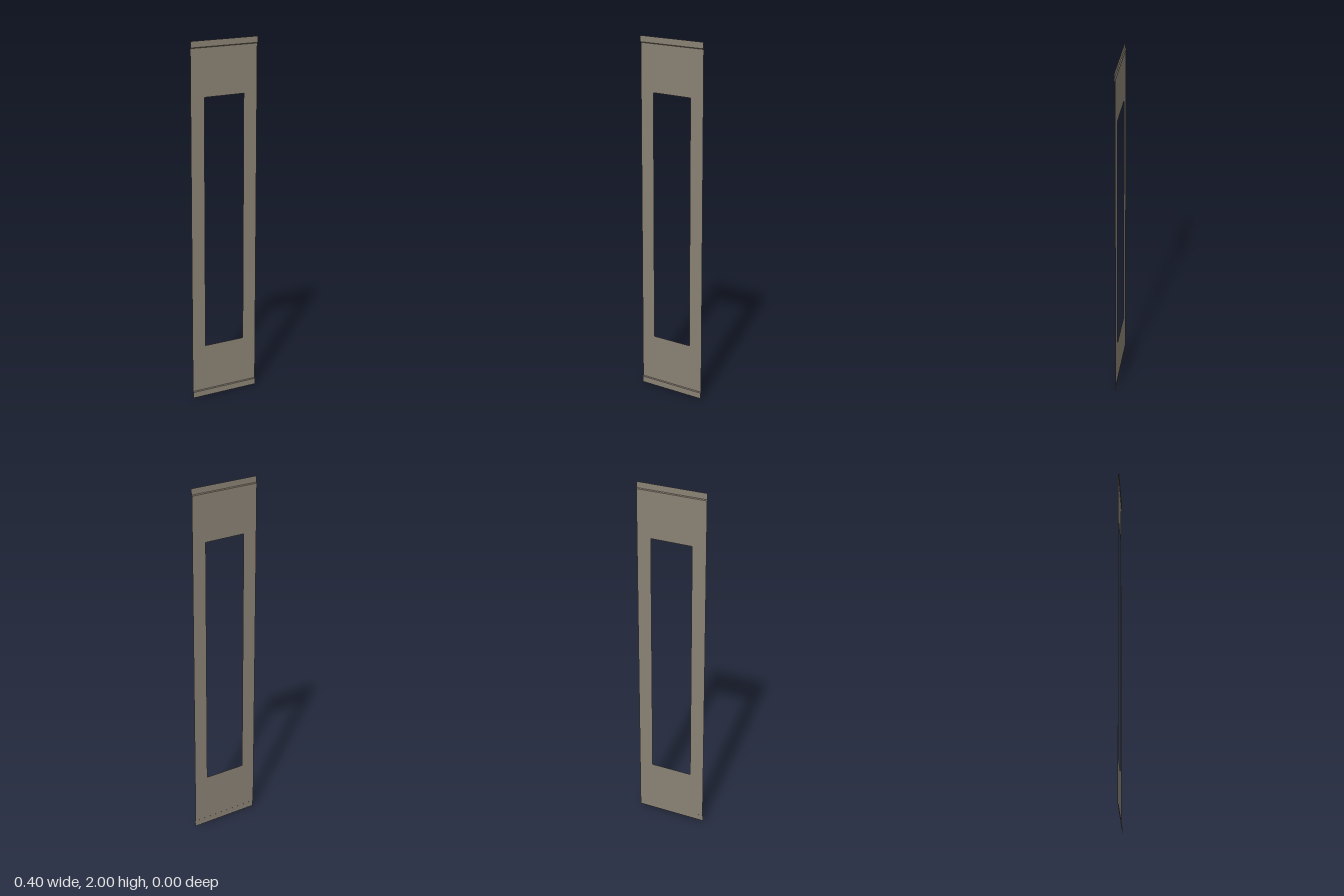
import * as THREE from 'three';

const HALF_W = 0.2, HEIGHT = 2;
const BACK = -0.0025, FRONT = 0.0025; // depth of the panel and of the edge flanges
const FLANGE = 0.034, STEP = 0.004;   // flange height and height of the sloped step

const material = new THREE.MeshStandardMaterial({
  color: 0x8a8275, side: THREE.DoubleSide, flatShading: true,
});

function rectangle(target, x, y0, y1) {
  target.moveTo(-x, y0);
  target.lineTo(x, y0);
  target.lineTo(x, y1);
  target.lineTo(-x, y1);
  target.closePath();
  return target;
}

// Full-width strip between two (y, z) levels, lower level first
function strip(name, y0, z0, y1, z1) {
  const geometry = new THREE.PlaneGeometry(HALF_W * 2, 1);
  const p = geometry.attributes.position;
  for (let i = 0; i < p.count; i++) {
    const upper = p.getY(i) > 0;
    p.setY(i, upper ? y1 : y0);
    p.setZ(i, upper ? z1 : z0);
  }
  geometry.computeVertexNormals();
  const mesh = new THREE.Mesh(geometry, material);
  mesh.name = name;
  return mesh;
}

export function createModel() {
  const group = new THREE.Group();
  group.name = 'framePanel';

  // Thin sheet panel with a tall window opening
  const inset = FLANGE + STEP;
  const shape = rectangle(new THREE.Shape(), HALF_W, inset, HEIGHT - inset);
  shape.holes.push(rectangle(new THREE.Path(), 0.119, 0.3, 1.7));
  const panel = new THREE.Mesh(new THREE.ShapeGeometry(shape), material);
  panel.name = 'panel';
  panel.position.z = BACK;
  group.add(panel);

  // Top and bottom edges step forward into narrow flanges
  group.add(
    strip('bottomFlange', 0, FRONT, FLANGE, FRONT),
    strip('bottomStep', FLANGE, FRONT, inset, BACK),
    strip('topStep', HEIGHT - inset, BACK, HEIGHT - FLANGE, FRONT),
    strip('topFlange', HEIGHT - FLANGE, FRONT, HEIGHT, FRONT),
  );
  return group;
}
